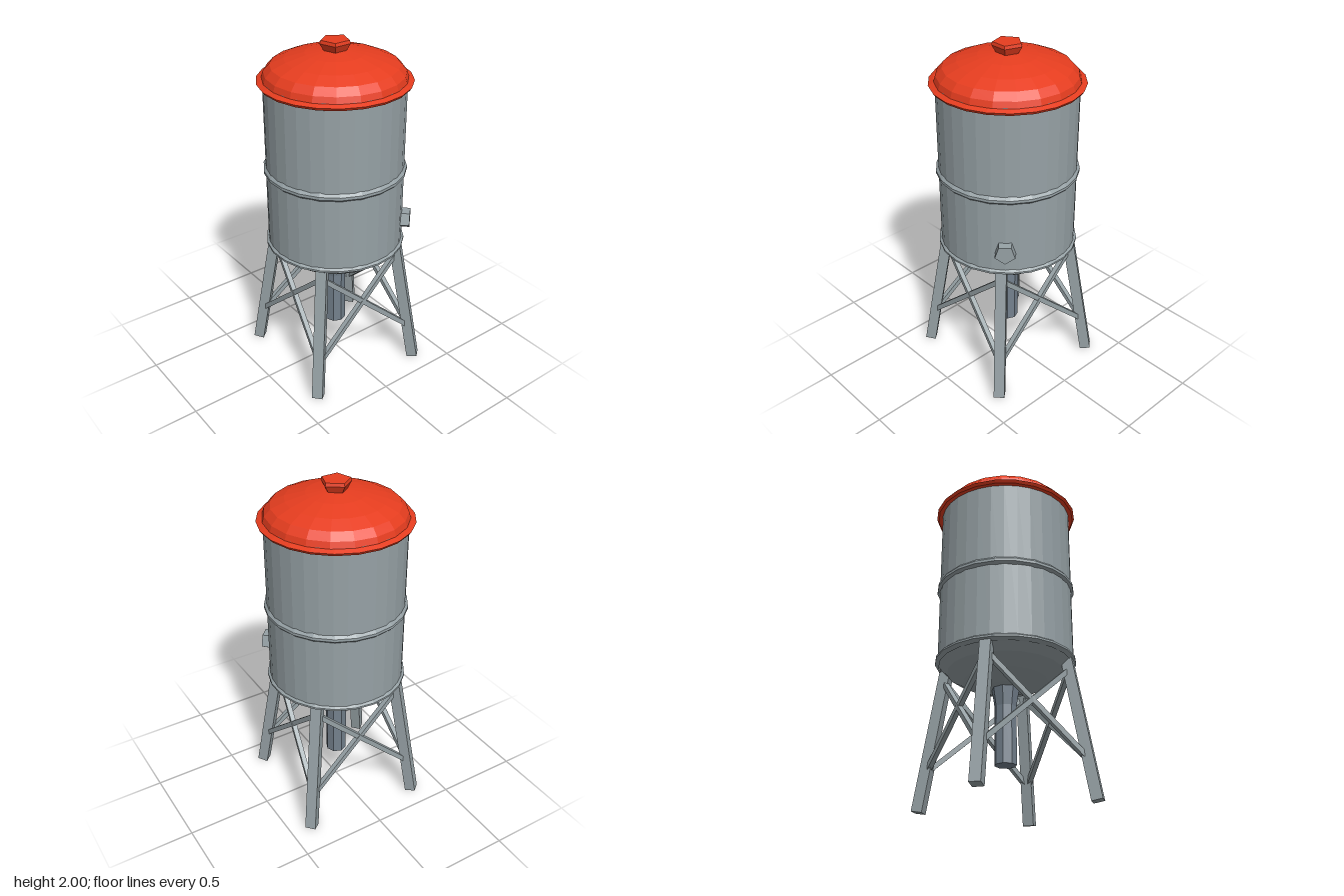
import * as THREE from 'three';

export function createModel() {
  const group = new THREE.Group();
  const colour = (name, hex) => {
    const m = new THREE.MeshStandardMaterial({ color: hex });
    m.name = name;
    return m;
  };
  const steel = colour('steel grey', 0x96a1a5);
  const slate = colour('slate blue grey', 0x74818d);
  const red = colour('red', 0xe63d1f);

  // Adds a faceted mesh
  function add(name, geometry, material) {
    const geo = geometry.index ? geometry.toNonIndexed() : geometry;
    geo.computeVertexNormals();
    const mesh = new THREE.Mesh(geo, material);
    mesh.name = name;
    group.add(mesh);
    return mesh;
  }
  const lathe = (name, profile, sides, material) =>
    add(name, new THREE.LatheGeometry(profile.map(([r, y]) => new THREE.Vector2(r, y)), sides), material);

  // Square bar between two points
  function beam(name, from, to, width) {
    const mesh = add(name, new THREE.BoxGeometry(width, width, from.distanceTo(to)), steel);
    mesh.position.copy(from).lerp(to, 0.5);
    mesh.lookAt(to);
  }

  // Tank with rounded hopper bottom
  lathe('tank', [[0.386, 0.81], [0.386, 1.8]], 32, steel);
  lathe('hopperBottom', [[0, 0.66], [0.12, 0.67], [0.24, 0.71], [0.33, 0.76], [0.386, 0.815]], 20, steel);

  // Ridged hoops
  const hoop = (name, y, r, h) =>
    lathe(name, [[0.378, y - h], [r, y - h * 0.3], [r, y + h * 0.2], [0.378, y + h]], 22, steel);
  hoop('lowerHoop', 0.82, 0.4, 0.022);
  hoop('middleHoop', 1.275, 0.401, 0.032);

  // Lid with rim and knob
  lathe('lidRim', [[0.375, 1.768], [0.41, 1.77], [0.421, 1.786], [0.395, 1.797], [0.375, 1.795]], 22, red);
  lathe('lid', [[0.394, 1.785], [0.38, 1.83], [0.345, 1.868], [0.27, 1.9], [0.16, 1.93], [0.07, 1.943], [0, 1.946]], 20, red);
  const knobProfile = [[0.055, 1.93], [0.085, 1.982], [0.08, 2], [0, 2]];
  lathe('lidKnob', knobProfile, 5, red).rotation.y = Math.PI;

  // Outlet pipe, flared where it meets the hopper
  lathe('outletPipe', [[0, 0.23], [0.062, 0.23], [0.062, 0.56], [0.08, 0.68]], 8, slate);

  // Valve stub on the front left side
  const stub = add('valveStub', new THREE.CylinderGeometry(0.058, 0.062, 0.1, 5).rotateX(Math.PI / 2), steel);
  stub.position.set(0.27, 0.962, 0.27);
  stub.rotation.y = Math.PI / 4;

  // Splayed legs and crossed braces, turned slightly off the diagonals
  const legPoint = (i, y) => {
    const angle = (i + 0.5) * Math.PI / 2 + 0.065;
    const r = 0.493 - 0.172 * y;
    return new THREE.Vector3(r * Math.cos(angle), y, r * Math.sin(angle));
  };
  for (let i = 0; i < 4; i++) {
    beam('leg', legPoint(i, 0.007), legPoint(i, 0.815), 0.062);
    beam('brace', legPoint(i, 0.225), legPoint(i + 1, 0.745), 0.028);
    beam('brace', legPoint(i + 1, 0.225), legPoint(i, 0.745), 0.028);
  }

  return group;
}
